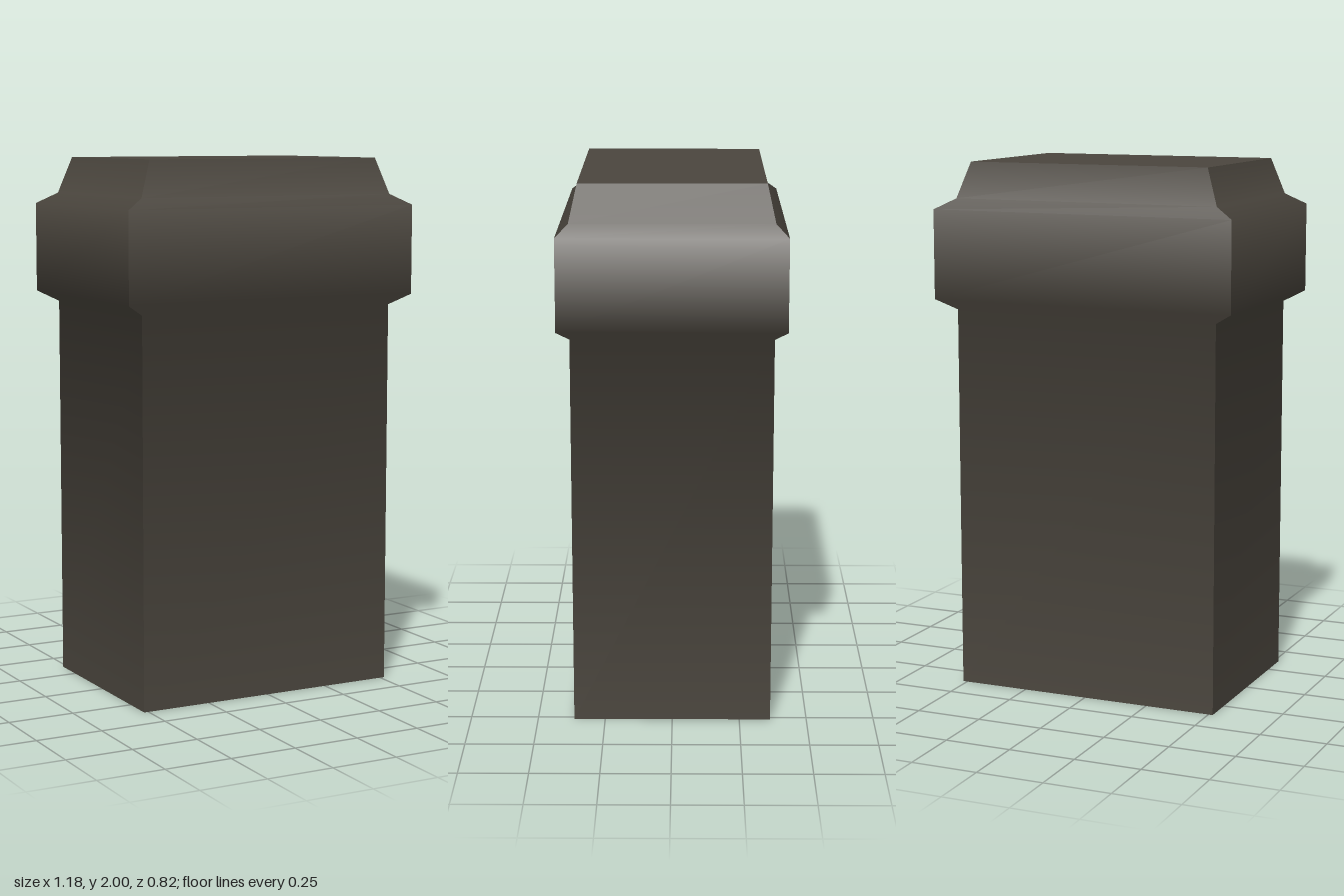
import * as THREE from 'three';

// Profile rings from the ground up: [half width, height, half depth]
const RINGS = [
  [0.517, 0, 0.365],
  [0.517, 1.45, 0.365],
  [0.59, 1.49, 0.41],
  [0.59, 1.825, 0.41],
  [0.517, 1.865, 0.365],
  [0.47, 2, 0.335],
];

// One wall: smooth along the profile, sharp at the corners
function wallGeometry(out, along) {
  const up = new THREE.Vector3(0, 1, 0);
  const reach = ([w, , d], axis) => Math.abs(axis.x) * w + Math.abs(axis.z) * d;

  // Outward normal of each straight section
  const sections = RINGS.slice(1).map((ring, i) => {
    const rise = ring[1] - RINGS[i][1];
    const run = reach(ring, out) - reach(RINGS[i], out);
    return out.clone().multiplyScalar(rise).addScaledVector(up, -run).normalize();
  });

  const position = [], normal = [], index = [];
  RINGS.forEach((ring, i) => {
    const below = sections[Math.max(i - 1, 0)];
    const above = sections[Math.min(i, sections.length - 1)];
    const n = below.clone().add(above).normalize();
    for (const side of [-1, 1]) {
      const p = out.clone().multiplyScalar(reach(ring, out))
        .addScaledVector(along, side * reach(ring, along));
      position.push(p.x, ring[1], p.z);
      normal.push(n.x, n.y, n.z);
    }
    if (i > 0) {
      const a = 2 * (i - 1);
      index.push(a, a + 1, a + 3, a, a + 3, a + 2);
    }
  });

  const geometry = new THREE.BufferGeometry();
  geometry.setAttribute('position', new THREE.Float32BufferAttribute(position, 3));
  geometry.setAttribute('normal', new THREE.Float32BufferAttribute(normal, 3));
  geometry.setIndex(index);
  return geometry;
}

export function createModel() {
  const model = new THREE.Group();
  model.name = 'pillar';
  const stone = new THREE.MeshStandardMaterial({ color: 0x4b463e, side: THREE.DoubleSide });
  stone.name = 'darkStone';

  // Four walls with the flared collar; the underside stays open
  const walls = [
    ['frontWall', [0, 0, 1], [1, 0, 0]],
    ['leftWall', [1, 0, 0], [0, 0, -1]],
    ['backWall', [0, 0, -1], [-1, 0, 0]],
    ['rightWall', [-1, 0, 0], [0, 0, 1]],
  ];
  for (const [name, out, along] of walls) {
    const wall = new THREE.Mesh(
      wallGeometry(new THREE.Vector3(...out), new THREE.Vector3(...along)), stone);
    wall.name = name;
    model.add(wall);
  }

  // Flat top
  const [w, h, d] = RINGS[RINGS.length - 1];
  const top = new THREE.Mesh(new THREE.PlaneGeometry(2 * w, 2 * d).rotateX(-Math.PI / 2), stone);
  top.position.y = h;
  top.name = 'topCap';
  model.add(top);

  return model;
}
